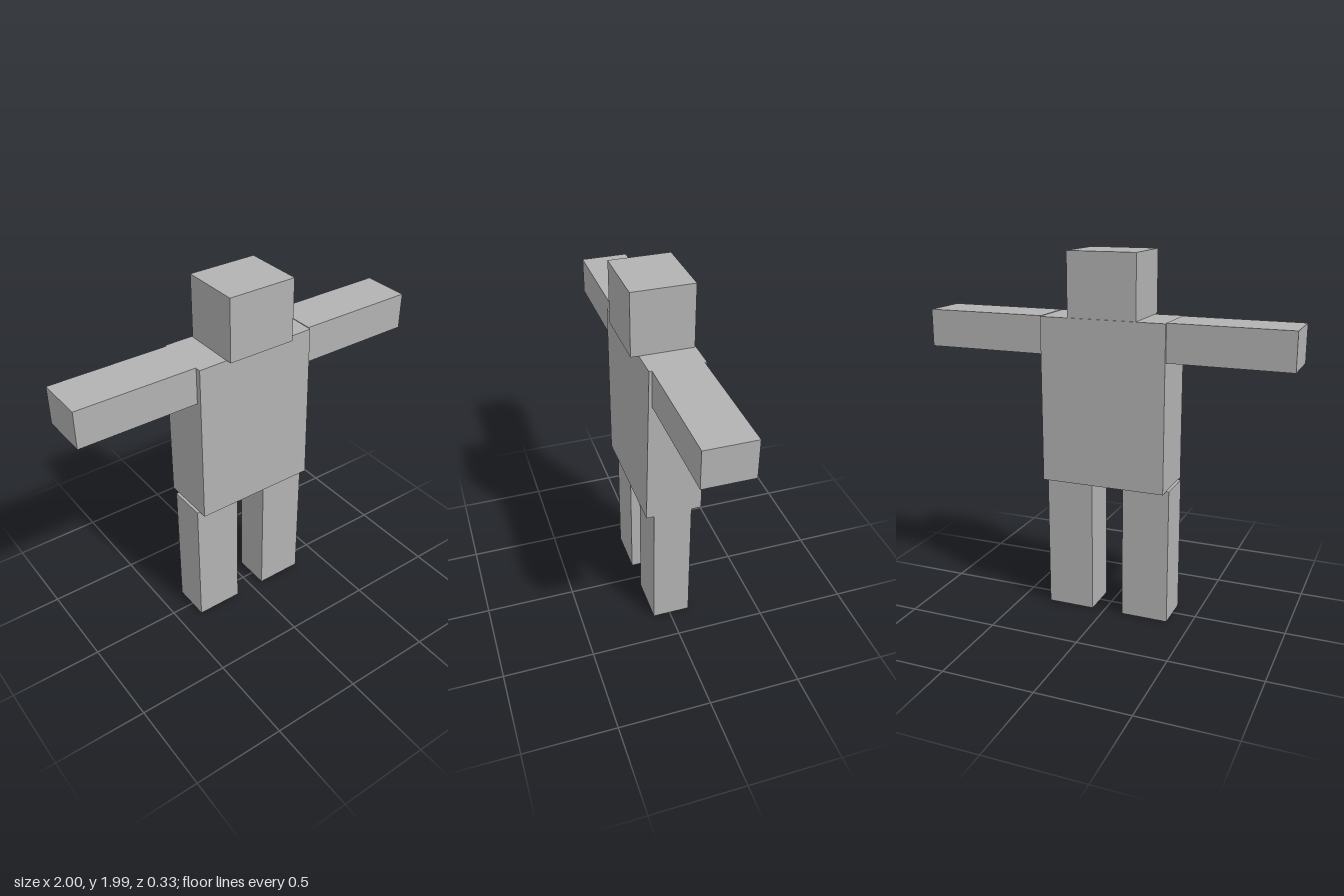
import * as THREE from 'three';

export function createModel() {
  const model = new THREE.Group();
  model.name = 'blockFigure';
  const grey = new THREE.MeshStandardMaterial({ color: 0xb2b2b2 });
  grey.name = 'plain grey';

  // Box spanning the given minimum and maximum on each axis
  function block(name, [x0, x1], [y0, y1], [z0, z1]) {
    const geometry = new THREE.BoxGeometry(x1 - x0, y1 - y0, z1 - z0);
    geometry.translate((x0 + x1) / 2, (y0 + y1) / 2, (z0 + z1) / 2);
    const mesh = new THREE.Mesh(geometry, grey);
    mesh.name = name;
    model.add(mesh);
    return mesh;
  }

  block('head', [-0.195, 0.182], [1.65, 1.99], [-0.162, 0.167]);

  // Torso, its upper left front corner set slightly back
  const torso = block('torso', [-0.353, 0.334], [0.755, 1.65], [-0.168, 0.138]);
  const p = torso.geometry.attributes.position;
  for (let i = 0; i < p.count; i++) {
    if (p.getX(i) > 0 && p.getY(i) > 1 && p.getZ(i) > 0) p.setZ(i, 0.122);
  }
  torso.geometry.computeVertexNormals();

  // Arms held straight out
  block('rightArm', [-1, -0.353], [1.45, 1.652], [-0.155, 0.108]);
  block('leftArm', [0.336, 1], [1.45, 1.652], [-0.155, 0.108]);

  // Legs
  block('rightLeg', [-0.369, -0.108], [0, 0.758], [-0.114, 0.095]);
  block('leftLeg', [0.07, 0.333], [0, 0.758], [-0.114, 0.095]);

  return model;
}
